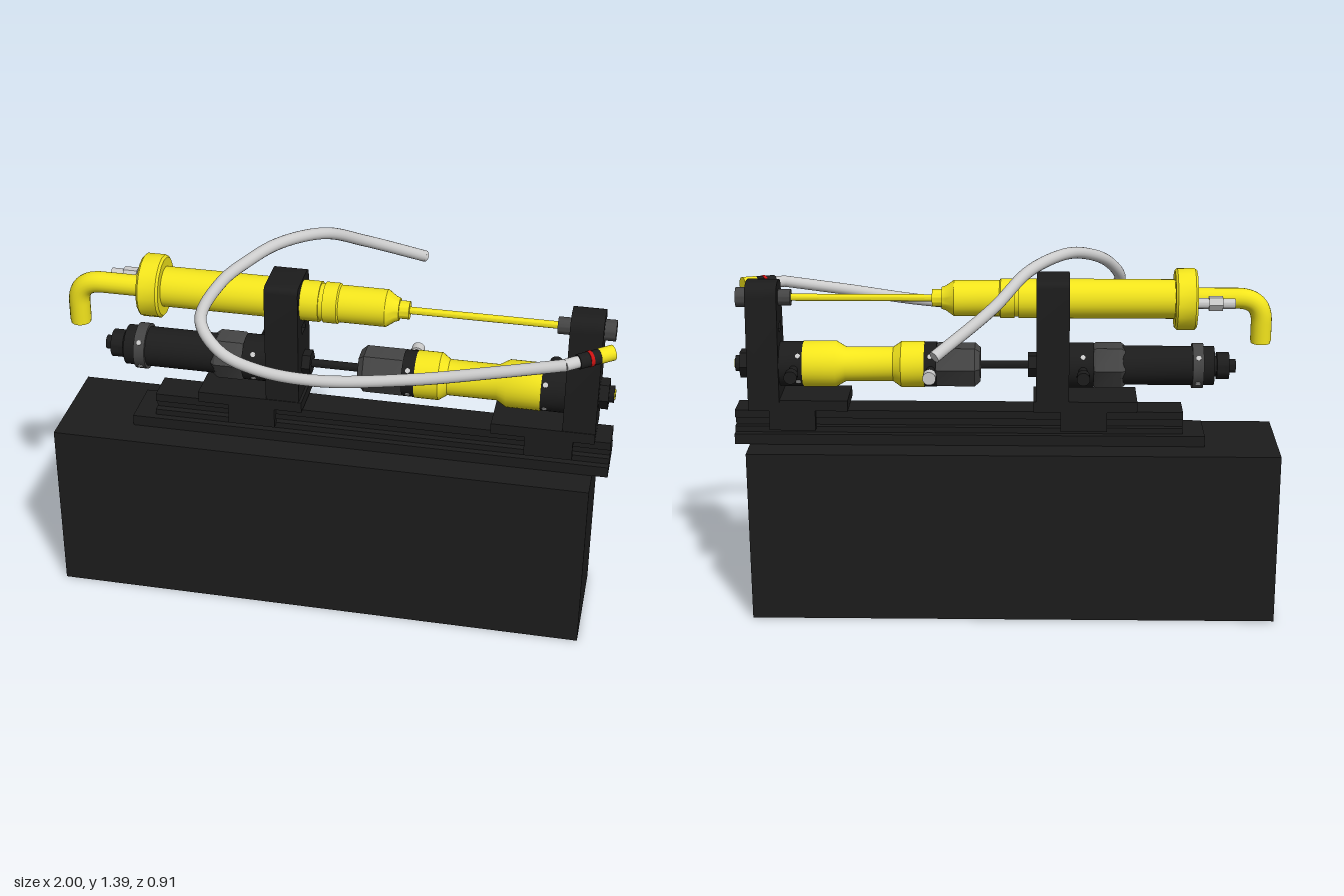
import * as THREE from 'three';
import { toCreasedNormals } from 'three/addons/utils/BufferGeometryUtils.js';

const mat = (color) => new THREE.MeshStandardMaterial({ color, side: THREE.DoubleSide });
const AXIS_Z = 0.09, UPPER = 1.187, LOWER = 0.935;

export function createModel() {
  const model = new THREE.Group();
  const black = mat(0x1c1c1c), dark = mat(0x444444), grey = mat(0xcccccc);
  const yellow = mat(0xf2e41c), red = mat(0xcc1111), white = mat(0xffffff);

  const add = (name, geo, material, parent = model) => {
    const mesh = new THREE.Mesh(geo, material);
    mesh.name = name;
    parent.add(mesh);
    return mesh;
  };
  // box given by its limits
  const box = (name, x0, x1, y0, y1, z0, z1, m = black) =>
    add(name, new THREE.BoxGeometry(x1 - x0, y1 - y0, z1 - z0), m)
      .position.set((x0 + x1) / 2, (y0 + y1) / 2, (z0 + z1) / 2);
  // turned part along x, profile of [x, radius]
  const turned = (name, y, profile, m, sides = 32, z = AXIS_Z) => {
    const first = profile[0], last = profile[profile.length - 1];
    const pts = [[first[0], 0], ...profile, [last[0], 0]].map(([x, r]) => new THREE.Vector2(r, x));
    const geo = toCreasedNormals(new THREE.LatheGeometry(pts, sides).rotateZ(-Math.PI / 2), 0.6);
    return add(name, geo, m).position.set(0, y, z);
  };
  const rod = (name, y, x0, x1, r, m, sides = 32, z = AXIS_Z) =>
    turned(name, y, [[x0, r], [x1, r]], m, sides, z);
  // cylinder between two points
  const between = (name, a, b, r, m) => {
    const d = b.clone().sub(a);
    const mesh = add(name, new THREE.CylinderGeometry(r, r, d.length(), 24), m);
    mesh.position.copy(a).addScaledVector(d, 0.5);
    mesh.quaternion.setFromUnitVectors(new THREE.Vector3(0, 1, 0), d.normalize());
  };
  const v = (x, y, z) => new THREE.Vector3(x, y, z);

  // base and guide rail
  box('base', -1, 0.945, 0, 0.65, -0.11, 0.295);
  box('railPlate', -0.73, 1, 0.65, 0.69, 0, 0.185);
  box('railFoot', -0.65, 1, 0.69, 0.712, 0.025, 0.16);
  box('railWeb', -0.65, 1, 0.712, 0.742, 0.05, 0.135);
  box('railHead', -0.65, 1, 0.742, 0.772, 0.033, 0.152);

  // carriages straddling the rail
  for (const [x0, x1, c0, c1] of [[-0.48, -0.1, -0.37, -0.2], [0.58, 0.945, 0.7, 0.87]]) {
    box('carriagePlate', x0, x1, 0.78, 0.82, 0, 0.185);
    for (const z of [0, 0.155]) box('carriageWing', c0, c1, 0.705, 0.79, z, z + 0.03);
  }

  // upright posts with a window
  const post = (name, x0, x1, wTop, top, bevel) => {
    const w = 0.0925, s = new THREE.Shape();
    s.moveTo(-w, 0.785);
    s.lineTo(w, 0.785);
    s.lineTo(w, 0.93);
    s.lineTo(wTop, top - bevel);
    s.quadraticCurveTo(wTop, top, wTop - bevel, top);
    s.lineTo(bevel - wTop, top);
    s.quadraticCurveTo(-wTop, top, -wTop, top - bevel);
    s.lineTo(-w, 0.93);
    s.closePath();
    const hole = new THREE.Path();
    hole.moveTo(-0.028, 1.06);
    hole.lineTo(-0.028, 1.092);
    hole.lineTo(0.028, 1.092);
    hole.lineTo(0.028, 1.06);
    hole.closePath();
    s.holes.push(hole);
    const geo = new THREE.ExtrudeGeometry(s, { depth: x1 - x0, bevelEnabled: false, curveSegments: 8 });
    add(name, toCreasedNormals(geo.rotateY(Math.PI / 2), 0.6), black).position.set(x0, 0, AXIS_Z);
  };
  post('middlePost', -0.23, -0.11, 0.0925, 1.27, 0.03);
  post('endPost', 0.83, 0.945, 0.07, 1.25, 0.06);

  // upper cylinder
  turned('upperFlange', UPPER, [[-0.69, 0.105], [-0.682, 0.113], [-0.618, 0.113], [-0.61, 0.105]], yellow, 16);
  turned('upperBarrel', UPPER, [[-0.62, 0.072], [-0.045, 0.072], [-0.045, 0.066], [-0.03, 0.066],
    [-0.03, 0.072], [0.02, 0.072], [0.025, 0.066], [0.19, 0.066], [0.22, 0.045], [0.235, 0.04],
    [0.235, 0.032], [0.27, 0.032]], yellow);
  rod('upperRod', UPPER, 0.26, 0.84, 0.013, yellow, 16);
  rod('upperRodSeat', UPPER, 0.785, 0.84, 0.03, dark);
  rod('upperPin', UPPER, 0.94, 0.985, 0.037, dark);
  const elbow = new THREE.CurvePath();
  elbow.add(new THREE.LineCurve3(v(-0.68, UPPER, 0.105), v(-0.84, UPPER, 0.105)));
  elbow.add(new THREE.QuadraticBezierCurve3(v(-0.84, UPPER, 0.105), v(-0.93, UPPER, 0.105), v(-0.93, 1.1, 0.105)));
  elbow.add(new THREE.LineCurve3(v(-0.93, 1.1, 0.105), v(-0.93, 1.03, 0.105)));
  add('elbowPipe', new THREE.TubeGeometry(elbow, 40, 0.038, 20), yellow);
  between('elbowEnd', v(-0.93, 1.035, 0.105), v(-0.93, 1.02, 0.105), 0.036, yellow);
  rod('sideFittingNut', UPPER, -0.78, -0.73, 0.028, grey, 6, 0.03);
  rod('sideFittingTip', UPPER, -0.825, -0.68, 0.019, grey, 20, 0.03);

  // lower left actuator
  turned('adjustKnob', LOWER, [[-0.84, 0.025], [-0.815, 0.025], [-0.815, 0.05], [-0.77, 0.05],
    [-0.77, 0.035], [-0.75, 0.035]], black);
  rod('endCap', LOWER, -0.76, -0.72, 0.072, black);
  rod('clampRing', LOWER, -0.72, -0.68, 0.083, dark);
  rod('leftBarrel', LOWER, -0.68, -0.42, 0.072, black);
  turned('leftHexBody', LOWER, [[-0.435, 0.075], [-0.42, 0.087], [-0.33, 0.087], [-0.32, 0.08]], dark, 6);
  rod('leftMount', LOWER, -0.32, -0.225, 0.083, black);
  rod('leftGland', LOWER, -0.115, -0.08, 0.047, black, 6);
  rod('lowerRod', LOWER, -0.09, 0.11, 0.015, black, 16);

  // lower right actuator
  turned('rightHexBody', LOWER, [[0.095, 0.065], [0.115, 0.083], [0.25, 0.083], [0.265, 0.075]], dark, 6);
  rod('rightCollar', LOWER, 0.255, 0.3, 0.083, black);
  turned('rightBarrel', LOWER, [[0.3, 0.085], [0.385, 0.085], [0.415, 0.064], [0.59, 0.064],
    [0.625, 0.085], [0.745, 0.085]], yellow);
  rod('rightMount', LOWER, 0.745, 0.835, 0.083, black);
  rod('endNut', LOWER, 0.94, 0.978, 0.055, black, 6);
  rod('endStud', LOWER, 0.97, 0.996, 0.03, black);
  rod('endStudTip', LOWER, 0.99, 1, 0.018, yellow);

  // screws around the collars
  for (const x of [-0.7, -0.28, 0.277, 0.76]) {
    for (const a of [0.62, -0.62, Math.PI - 0.62, Math.PI + 0.62]) {
      const dir = v(0, Math.sin(a), Math.cos(a)), c = v(x, LOWER, AXIS_Z);
      between('collarScrew', c.clone().addScaledVector(dir, 0.07), c.clone().addScaledVector(dir, 0.085), 0.009, white);
    }
  }
  // valves on the back side
  for (const [x, m] of [[-0.28, black], [0.275, grey], [0.775, black]]) {
    between('valveStem', v(x, LOWER, 0.03), v(x, LOWER, -0.06), 0.016, black);
    between('valveCap', v(x, LOWER, -0.05), v(x, LOWER, -0.09), 0.024, m);
  }

  // hose with its connector
  const path = [
    [0.84, 1.18, 0.345], [0.6, 1.14, 0.375], [0.33, 1.095, 0.4], [0.01, 1.065, 0.422],
    [-0.2, 1.08, 0.417], [-0.34, 1.12, 0.385], [-0.42, 1.2, 0.32], [-0.37, 1.295, 0.22],
    [-0.29, 1.345, 0.13], [-0.21, 1.367, 0.03], [-0.08, 1.342, -0.13], [0.04, 1.25, -0.28],
    [0.235, 1.125, -0.445]].map((p) => v(...p));
  const hose = new THREE.CatmullRomCurve3(path);
  add('hose', new THREE.TubeGeometry(hose, 120, 0.021, 16), grey);
  for (const [i, j] of [[0, 1], [12, 11]]) {
    const out = path[i].clone().sub(path[j]).normalize();
    between('hoseEnd', path[i].clone().addScaledVector(out, -0.01), path[i].clone().addScaledVector(out, 0.001), 0.021, grey);
  }
  const from = v(0.835, 1.18, 0.346), to = v(0.985, 1.192, 0.25);
  const at = (t) => from.clone().lerp(to, t);
  between('hoseNeck', at(0), at(0.3), 0.021, grey);
  between('connectorSleeve', at(0.27), at(0.72), 0.026, black);
  between('connectorRing', at(0.48), at(0.55), 0.028, red);
  between('connectorTip', at(0.7), at(1), 0.027, yellow);
  return model;
}
